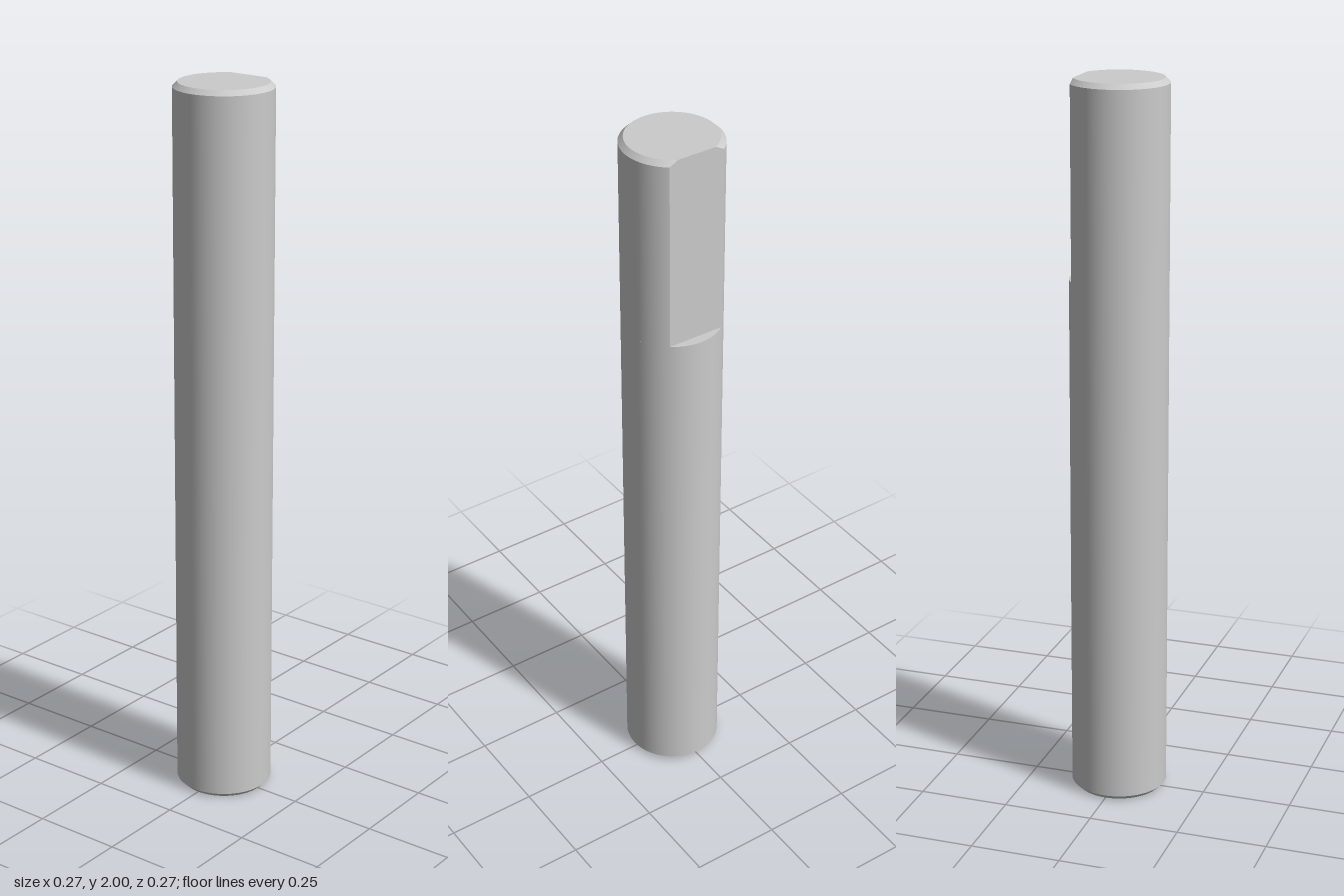
import * as THREE from 'three';
import { ParametricGeometry } from 'three/addons/geometries/ParametricGeometry.js';

const R = 0.1333, CHAMFER = 0.0133, HEIGHT = 2;
const FLAT_Z = 0.1067, FLAT_Y = 1.467; // flat's distance behind the axis, and where it starts
const SEGMENTS = 96;

export function createModel() {
  const group = new THREE.Group();
  const material = new THREE.MeshStandardMaterial({ color: 0xcccccc });
  const add = (name, geometry) => {
    const mesh = new THREE.Mesh(geometry, material);
    mesh.name = name;
    group.add(mesh);
    return mesh;
  };

  // Full round sections; each profile step is its own lathe so edges stay sharp
  const profile = [
    ['holeTip', 0, 0.293],
    ['holeWall', 0.0453, 0.267],
    ['holeCountersink', 0.0453, 0.008],
    ['bottomFace', 0.0533, 0],
    ['bottomChamfer', R - CHAMFER, 0],
    ['shaft', R, CHAMFER],
    ['', R, FLAT_Y],
  ];
  for (let i = 0; i < profile.length - 1; i++) {
    const points = [profile[i], profile[i + 1]].map(([, r, y]) => new THREE.Vector2(r, y));
    add(profile[i][0], new THREE.LatheGeometry(points, SEGMENTS));
  }

  // Half angle and half width of the piece cut off by the flat at radius r
  const cutAngle = (r) => Math.acos(FLAT_Z / r);
  const cutWidth = (r) => Math.sqrt(r * r - FLAT_Z * FLAT_Z);

  // Curved wall of the flatted end, open at the back
  const arcWall = (r0, y0, r1, y1, rows) => new ParametricGeometry((u, v, target) => {
    const r = THREE.MathUtils.lerp(r0, r1, v);
    const a = (2 * u - 1) * (Math.PI - cutAngle(r));
    target.set(r * Math.sin(a), THREE.MathUtils.lerp(y0, y1, v), r * Math.cos(a));
  }, SEGMENTS, rows);
  add('upperShaft', arcWall(R, FLAT_Y, R, HEIGHT - CHAMFER, 1));
  add('topChamfer', arcWall(R, HEIGHT - CHAMFER, R - CHAMFER, HEIGHT, 6));

  // Horizontal faces: the D-shaped top and the ledge under the flat
  const arcFace = (name, r, from, to, y) => {
    const shape = new THREE.Shape().absarc(0, 0, r, from, to, false);
    add(name, new THREE.ShapeGeometry(shape, 64).rotateX(-Math.PI / 2).translate(0, y, 0));
  };
  const topCut = cutAngle(R - CHAMFER), ledgeCut = cutAngle(R), back = Math.PI / 2;
  arcFace('topFace', R - CHAMFER, back + topCut, back - topCut + 2 * Math.PI, HEIGHT);
  arcFace('flatLedge', R, back - ledgeCut, back + ledgeCut, FLAT_Y);

  // Machined flat, its upper corners following the chamfer
  const side = [[cutWidth(R), FLAT_Y]];
  for (let i = 0; i <= 6; i++) {
    const d = (CHAMFER * i) / 6;
    side.push([cutWidth(R - d), HEIGHT - CHAMFER + d]);
  }
  const mirrored = side.map(([x, y]) => [-x, y]).reverse();
  const outline = [...side, ...mirrored].map(([x, y]) => new THREE.Vector2(x, y));
  add('flat', new THREE.ShapeGeometry(new THREE.Shape(outline)).rotateY(Math.PI).translate(0, 0, -FLAT_Z));

  return group;
}
